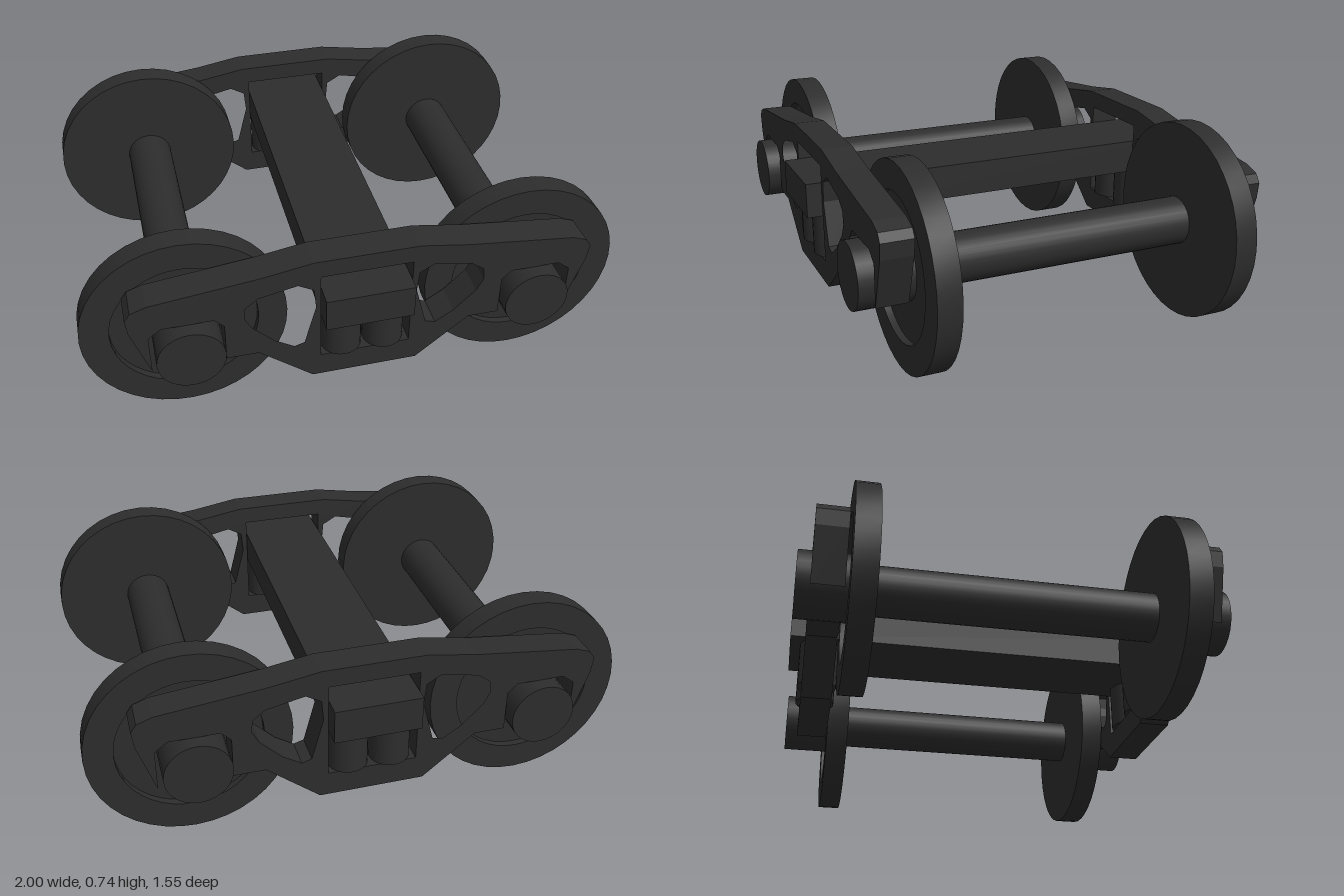
import * as THREE from 'three';
import { toCreasedNormals } from 'three/addons/utils/BufferGeometryUtils.js';

const steel = new THREE.MeshStandardMaterial({ color: 0x2d2d2d });
steel.name = 'dark steel';

const AXLE_X = 0.63, AXLE_Y = 0.37;

// Right half of the side frame outline, from top centre round to the bottom
const OUTLINE = [
  [0.19, 0.675], [0.37, 0.645], [0.76, 0.6], [0.815, 0.58], [0.835, 0.55], [0.828, 0.49],
  [0.765, 0.3], [0.765, 0.455], [0.72, 0.49], [0.54, 0.49], [0.505, 0.455], [0.505, 0.3],
  [0.39, 0.3], [0.195, 0.14],
];
// Rounded triangular lightening hole
const HOLE = [
  [0.246, 0.585], [0.19, 0.553], [0.183, 0.473], [0.225, 0.313], [0.262, 0.302],
  [0.33, 0.345], [0.41, 0.425], [0.435, 0.473], [0.43, 0.52], [0.385, 0.555],
];
const WINDOW = [[-0.165, 0.235], [0.165, 0.235], [0.165, 0.607], [-0.165, 0.607]];

const toVectors = (pts, sx = 1) => pts.map(([x, y]) => new THREE.Vector2(sx * x, y));

function add(parent, name, geometry, x = 0, y = 0, z = 0) {
  const mesh = new THREE.Mesh(geometry, steel);
  mesh.name = name;
  mesh.position.set(x, y, z);
  parent.add(mesh);
  return mesh;
}

function sideFrameGeometry() {
  const shape = new THREE.Shape([...toVectors(OUTLINE), ...toVectors(OUTLINE, -1).reverse()]);
  shape.holes = [toVectors(HOLE), toVectors(HOLE, -1), toVectors(WINDOW)].map((p) => new THREE.Path(p));
  const depth = 0.115;
  return new THREE.ExtrudeGeometry(shape, { depth, bevelEnabled: false }).translate(0, 0, -depth / 2);
}

// Wheel disc with a shallow recess on its outer face
function wheelGeometry(side) {
  const profile = [[0, 0.51], [0.37, 0.51], [0.37, 0.596], [0.265, 0.596], [0.265, 0.57], [0, 0.57]];
  const lathe = new THREE.LatheGeometry(toVectors(profile), 40);
  return toCreasedNormals(lathe, 0.6).rotateX(side * Math.PI / 2);
}

export function createModel() {
  const group = new THREE.Group();
  group.name = 'railTruck';

  // Cross beam resting on the springs
  add(group, 'bolster', new THREE.BoxGeometry(0.32, 0.13, 1.55), 0, 0.475, 0);

  const frame = sideFrameGeometry();
  const axle = new THREE.CylinderGeometry(0.09, 0.09, 1.16, 28).rotateX(Math.PI / 2);
  const bearing = new THREE.CylinderGeometry(0.12, 0.12, 0.2, 28).rotateX(Math.PI / 2);
  const spring = new THREE.CylinderGeometry(0.075, 0.075, 0.18, 24);

  for (const sx of [-1, 1]) add(group, 'axle', axle, sx * AXLE_X, AXLE_Y, 0);

  for (const sz of [-1, 1]) {
    const sideName = sz > 0 ? 'front' : 'back';
    add(group, sideName + 'SideFrame', frame, 0, 0, sz * 0.661);
    const wheel = wheelGeometry(sz);
    for (const sx of [-1, 1]) {
      add(group, sideName + 'Wheel', wheel, sx * AXLE_X, AXLE_Y, 0);
      add(group, sideName + 'Bearing', bearing, sx * AXLE_X, AXLE_Y, sz * 0.668);
      add(group, sideName + 'Spring', spring, sx * 0.079, 0.325, sz * 0.661);
    }
  }
  return group;
}
